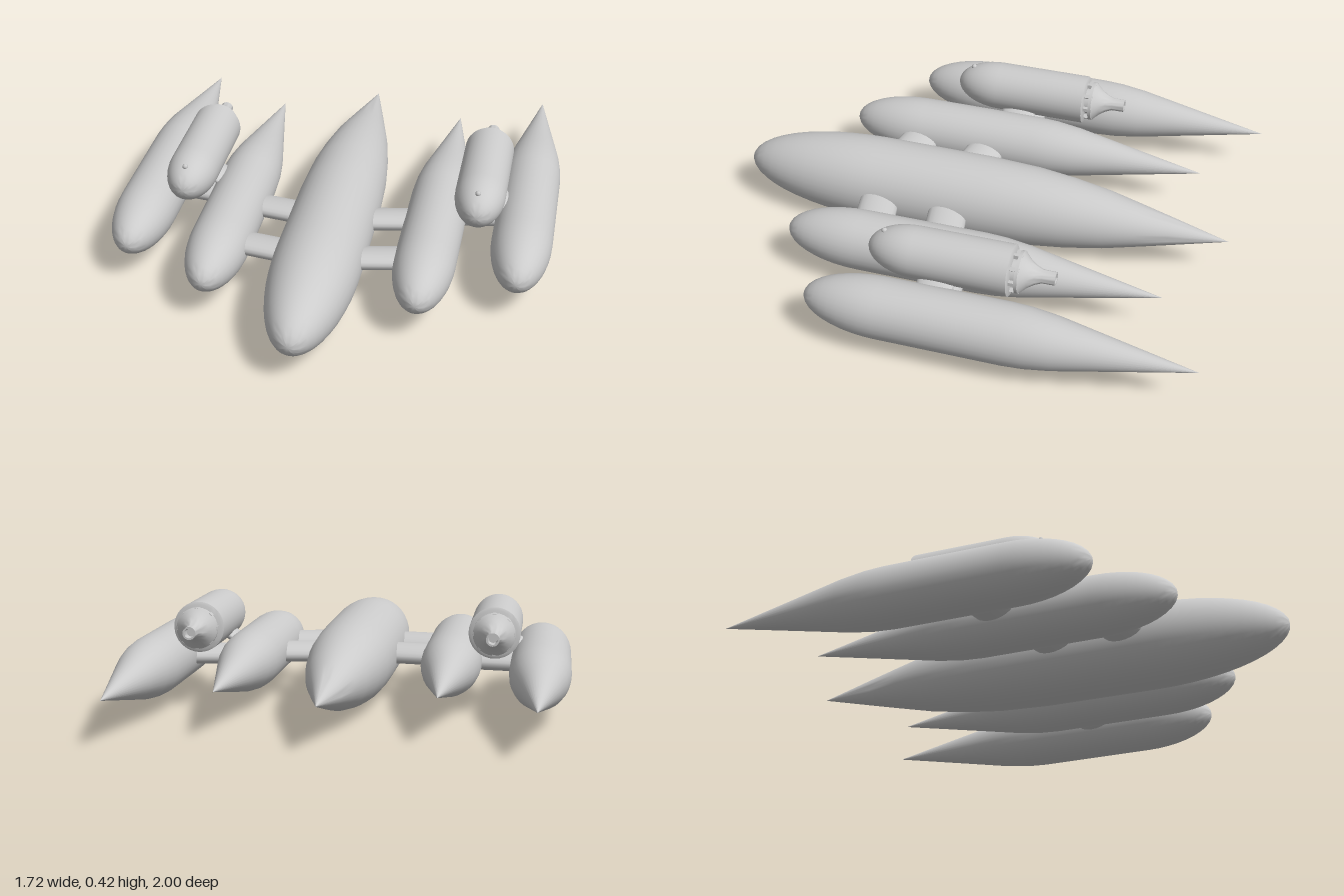
import * as THREE from 'three';
import { toCreasedNormals } from 'three/addons/utils/BufferGeometryUtils.js';

const material = new THREE.MeshStandardMaterial({ color: 0xcccccc, side: THREE.DoubleSide });

function addMesh(parent, name, geometry, x = 0, y = 0, z = 0) {
  const mesh = new THREE.Mesh(geometry, material);
  mesh.name = name;
  mesh.position.set(x, y, z);
  parent.add(mesh);
  return mesh;
}

// Turned body along z from [z, radius] pairs, listed from back to front
function turned(profile, segments = 32) {
  const points = profile.map(([z, r]) => new THREE.Vector2(r, z));
  const geometry = new THREE.LatheGeometry(points, segments).rotateX(Math.PI / 2);
  return toCreasedNormals(geometry, 0.7);
}

// Elliptical nose profile from full radius at z0 to the point z1
function nose(z0, z1, r, steps = 10) {
  return Array.from({ length: steps + 1 }, (_, i) => {
    const a = (i / steps) * Math.PI / 2;
    return [z0 + (z1 - z0) * Math.sin(a), i === steps ? 0 : r * Math.cos(a)];
  });
}

// Strut with an oval section (thin across, wide along z) between two points
function addStrut(parent, name, from, to, thin, wide) {
  const a = new THREE.Vector3(...from), b = new THREE.Vector3(...to);
  const dir = b.clone().sub(a);
  const geometry = new THREE.CylinderGeometry(1, 1, dir.length(), 20);
  geometry.scale(thin, 1, wide);
  const mesh = addMesh(parent, name, geometry);
  mesh.position.copy(a).add(b).multiplyScalar(0.5);
  mesh.quaternion.setFromUnitVectors(new THREE.Vector3(0, 1, 0), dir.normalize());
  return mesh;
}

function createPod() {
  const pod = new THREE.Group();
  const r = 0.098;
  addMesh(pod, 'podShell', turned([[-0.275, 0], [-0.275, 0.088], [-0.27, r], ...nose(0.1, 0.28, r)]));
  addMesh(pod, 'noseStud', new THREE.SphereGeometry(0.011, 12, 8), 0, 0.074, 0.218);

  // Recessed neck and clamps between the shell and the nozzle
  addMesh(pod, 'nozzleNeck', turned([[-0.31, 0.055], [-0.27, 0.055]], 24));
  for (let i = 0; i < 8; i++) {
    const a = (i / 8) * Math.PI * 2;
    const clamp = addMesh(pod, 'nozzleClamp', new THREE.BoxGeometry(0.016, 0.014, 0.04),
      Math.cos(a) * 0.07, Math.sin(a) * 0.07, -0.29);
    clamp.rotation.z = a;
  }

  // Concave nozzle narrowing to an open pipe
  addMesh(pod, 'nozzle', turned([
    [-0.4, 0.016], [-0.435, 0.018], [-0.435, 0.025], [-0.385, 0.026], [-0.36, 0.036],
    [-0.335, 0.052], [-0.315, 0.071], [-0.307, 0.08], [-0.295, 0.08], [-0.295, 0],
  ], 28));
  addMesh(pod, 'nozzlePlug', new THREE.CircleGeometry(0.017, 20), 0, 0, -0.4);
  return pod;
}

export function createModel() {
  const model = new THREE.Group();
  model.name = 'spacecraft';
  const hullY = 0.168, nacelleY = 0.172, nacelleR = 0.117, podY = 0.32;

  // Central hull
  addMesh(model, 'centralHull', turned([
    [-0.98, 0], [-0.75, 0.056], [-0.62, 0.087], [-0.5, 0.115], [-0.35, 0.14], [-0.2, 0.157], [0, 0.166],
    ...nose(0.45, 1, 0.168, 12),
  ], 36), 0, hullY);

  for (const side of [-1, 1]) {
    const wing = new THREE.Group();
    wing.name = side > 0 ? 'leftWing' : 'rightWing';
    model.add(wing);

    // Inner and outer nacelles with long tapered tails
    for (const [name, x, z] of [['innerNacelle', 0.395, 0.2], ['outerNacelle', 0.742, 0]]) {
      addMesh(wing, name, turned([
        [-1, 0], [-0.62, 0.073], [-0.48, 0.1], [-0.38, 0.113], [-0.3, nacelleR],
        ...nose(0.18, 0.48, nacelleR),
      ]), side * x, nacelleY, z);
    }

    // Swept struts joining hull and nacelles
    for (const z of [0.1, 0.385]) {
      addStrut(wing, 'hullStrut', [side * 0.1, nacelleY, z + 0.02], [side * 0.35, nacelleY, z - 0.022], 0.037, 0.077);
    }
    addStrut(wing, 'nacelleStrut', [side * 0.44, nacelleY, 0.02], [side * 0.7, nacelleY, -0.02], 0.037, 0.077);

    // Pod resting above the gap on two short pylons
    const pod = createPod();
    pod.name = 'enginePod';
    pod.position.set(side * 0.568, podY, 0);
    wing.add(pod);
    for (const x of [0.395, 0.742]) {
      addStrut(wing, 'podPylon', [side * 0.568, podY - 0.02, 0], [side * x, nacelleY + 0.02, 0], 0.022, 0.07);
    }
  }
  return model;
}
